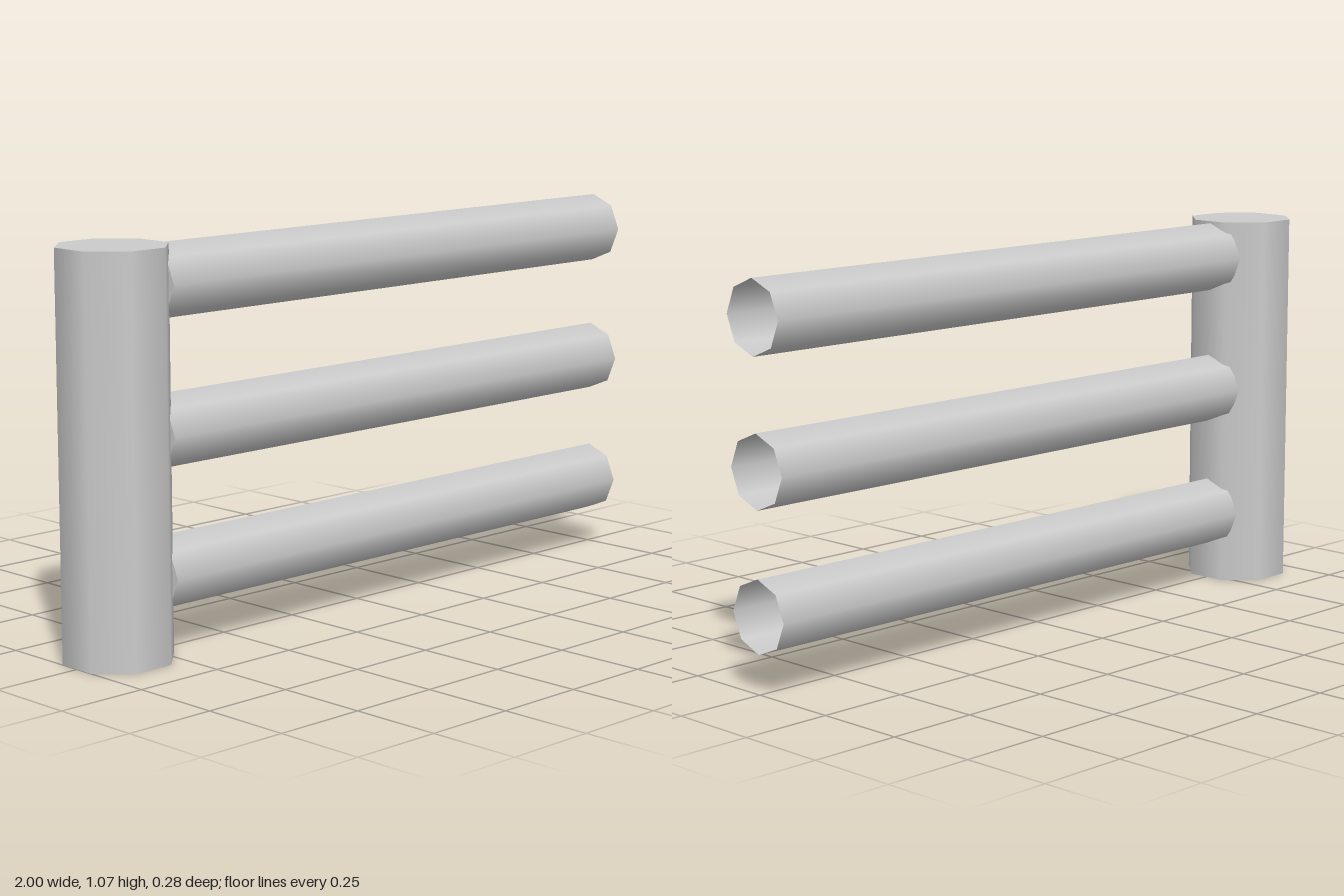
import * as THREE from 'three';
import { mergeGeometries } from 'three/addons/utils/BufferGeometryUtils.js';

const SIDES = 8;

// Upright eight-sided tube from y = 0, capped on top and open below
function cappedTube(radius, length) {
  const wall = new THREE.CylinderGeometry(radius, radius, length, SIDES, 1, true);
  wall.translate(0, length / 2, 0);
  const cap = new THREE.CircleGeometry(radius, SIDES);
  cap.rotateX(-Math.PI / 2);
  cap.translate(0, length, 0);
  return mergeGeometries([wall, cap]);
}

export function createModel() {
  const group = new THREE.Group();
  group.name = 'fenceSection';
  const material = new THREE.MeshStandardMaterial({ color: 0xcccccc, side: THREE.DoubleSide });

  // Post, turned so that flat sides face the axes
  const apothem = 0.1375;
  const post = new THREE.Mesh(cappedTube(apothem / Math.cos(Math.PI / SIDES), 1.065), material);
  post.name = 'post';
  post.rotation.y = Math.PI / SIDES;
  post.position.x = -1 + apothem;
  group.add(post);

  // Rails, capped end set into the post and open end at +x
  const railGeometry = cappedTube(0.098, 1.745);
  const rails = [
    ['lowerRail', 1, 0.202],
    ['middleRail', 0.997, 0.573],
    ['upperRail', 1, 0.961],
  ];
  for (const [name, x, y] of rails) {
    const rail = new THREE.Mesh(railGeometry, material);
    rail.name = name;
    rail.rotation.z = Math.PI / 2;
    rail.position.set(x, y, 0);
    group.add(rail);
  }

  return group;
}
